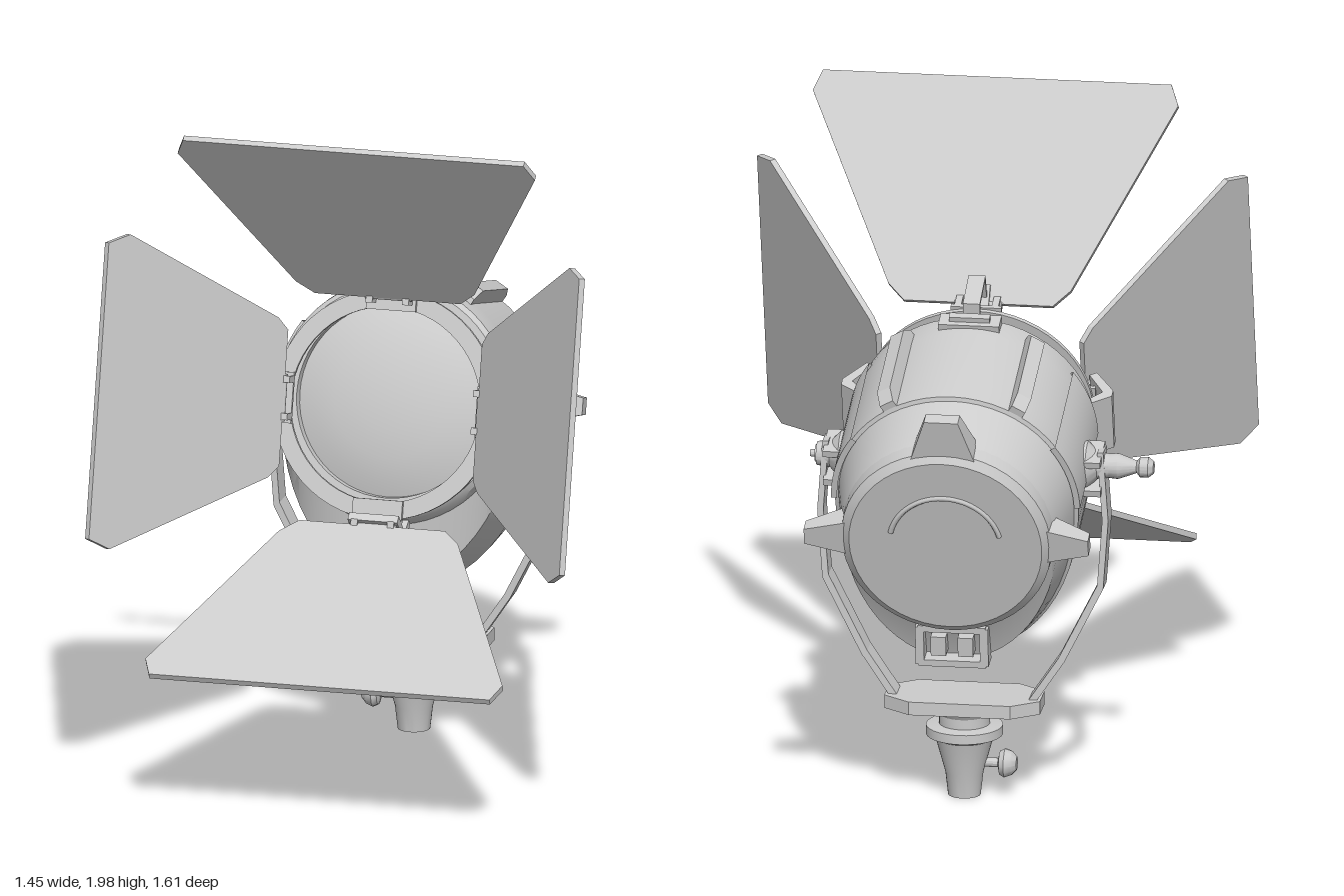
import * as THREE from 'three';
import { toCreasedNormals } from 'three/addons/utils/BufferGeometryUtils.js';

const grey = new THREE.MeshStandardMaterial({ color: 0xcccccc });
const greyDouble = new THREE.MeshStandardMaterial({ color: 0xcccccc, side: THREE.DoubleSide });

function add(parent, name, geometry, x = 0, y = 0, z = 0, material = grey) {
  const mesh = new THREE.Mesh(geometry, material);
  mesh.name = name;
  mesh.position.set(x, y, z);
  parent.add(mesh);
  return mesh;
}
const box = (w, h, d) => new THREE.BoxGeometry(w, h, d);
const vec = (points) => points.map(([x, y]) => new THREE.Vector2(x, y));

// Turned part from [radius, height] points, with crisp steps
function lathe(points, segments = 48, start = 0, length = Math.PI * 2) {
  return toCreasedNormals(new THREE.LatheGeometry(vec(points), segments, start, length), 0.5);
}
// Flat polygon with thickness, centred on its own plane
function slab(points, depth) {
  const g = new THREE.ExtrudeGeometry(new THREE.Shape(vec(points)), { depth, bevelEnabled: false });
  return g.translate(0, 0, -depth / 2);
}
// Profile drawn in (z forward, y outward), extruded across x
const sideSlab = (points, width) => slab(points, width).rotateY(-Math.PI / 2);
const mirrored = (half) => [...half, ...half.map(([x, y]) => [-x, y]).reverse()];

// Housing: round on top, deeper underneath; sections are [z, radius, depth below]
function housingGeometry() {
  const sections = [
    [-0.37, 0.29, 0.29], [-0.36, 0.31, 0.31], [-0.34, 0.318, 0.455], [-0.185, 0.348, 0.525],
    [-0.18, 0.36, 0.53], [-0.12, 0.36, 0.55], [0.157, 0.36, 0.535], [0.215, 0.357, 0.365],
    [0.25, 0.352, 0.352], [0.265, 0.338, 0.338], [0.265, 0.287, 0.287], [0.2, 0.282, 0.282],
  ];
  const n = 56, pos = [], index = [];
  sections.forEach(([z, r, low], i) => {
    for (let j = 0; j < n; j++) {
      const a = (j / n) * Math.PI * 2;
      pos.push(r * Math.cos(a), (Math.sin(a) > 0 ? r : low) * Math.sin(a), z);
      if (i === sections.length - 1) continue;
      const p = i * n + j, q = i * n + ((j + 1) % n);
      index.push(p, q, q + n, p, q + n, p + n);
    }
  });
  const g = new THREE.BufferGeometry();
  g.setAttribute('position', new THREE.Float32BufferAttribute(pos, 3));
  g.setIndex(index);
  return toCreasedNormals(g, 0.5);
}

function buildHead() {
  const head = new THREE.Group();
  head.name = 'lampHead';
  add(head, 'housing', housingGeometry(), 0, 0, 0, greyDouble);
  add(head, 'lens', lathe([[0.287, 0.235], [0.24, 0.255], [0.17, 0.275], [0.09, 0.287], [0, 0.291]]),
    0, 0, 0, greyDouble).rotation.x = Math.PI / 2;
  add(head, 'rearCap', lathe([[0, -0.425], [0.285, -0.425], [0.31, -0.405], [0.315, -0.31], [0.3, -0.305]]),
    0, 0, 0, greyDouble).rotation.x = Math.PI / 2;
  add(head, 'rearArc', new THREE.TorusGeometry(0.165, 0.008, 6, 28, Math.PI * 0.85), 0, 0, -0.426)
    .rotation.z = Math.PI * 0.075;

  // Curved cover panels on both sides
  for (const start of [90, 235]) {
    add(head, 'sidePanel', lathe([[0.35, -0.2], [0.368, -0.2], [0.368, 0.2], [0.35, 0.2]], 10,
      THREE.MathUtils.degToRad(start), THREE.MathUtils.degToRad(35)), 0, 0, 0, greyDouble).rotation.x = Math.PI / 2;
  }
  // Cooling fins
  for (const s of [-1, 1]) {
    const fin = add(head, 'coolingFin', sideSlab([[-0.18, 0.33], [0.2, 0.33], [0.2, 0.375], [0.16, 0.405],
      [-0.14, 0.405], [-0.18, 0.38]], 0.045));
    fin.rotation.z = -s * 0.54;
  }
  // Three rear feet, tapering outward
  for (const a of [0, Math.PI / 2, -Math.PI / 2]) {
    const g = box(0.2, 0.15, 0.1), p = g.attributes.position;
    for (let i = 0; i < p.count; i++) {
      if (p.getY(i) < 0) continue;
      p.setX(i, p.getX(i) * (a === 0 ? 0.5 : 0.42));
      if (p.getZ(i) > 0) p.setZ(i, -0.005);
    }
    g.translate(0, 0.345, -0.36);
    const foot = add(head, 'rearFoot', toCreasedNormals(g, 0.3));
    if (a !== 0) foot.scale.x = 0.6;
    foot.rotation.z = a;
  }
  // Switch panel on the lower back
  const panel = new THREE.Group();
  panel.name = 'switchPanel';
  panel.position.set(0, -0.385, -0.36);
  panel.rotation.x = 0.14;
  for (const s of [-1, 1]) {
    add(panel, 'panelSide', box(0.025, 0.12, 0.06), s * 0.095);
    add(panel, 'panelRail', box(0.2, 0.02, 0.06), 0, s * 0.055);
    add(panel, 'switch', box(0.045, 0.06, 0.06), s * 0.04);
  }
  head.add(panel);
  add(head, 'bottomStud', new THREE.CylinderGeometry(0.03, 0.03, 0.05, 16), 0, -0.54, 0.03);

  buildDoors(head);
  return head;
}

function buildDoors(head) {
  const doors = new THREE.Group();
  doors.name = 'barnDoors';
  doors.position.y = -0.012;
  head.add(doors);
  // Thin frame ring in front of the housing
  const ring = new THREE.Shape().absarc(0, 0, 0.338, 0, Math.PI * 2);
  ring.holes.push(new THREE.Path().absarc(0, 0, 0.287, 0, Math.PI * 2, true));
  add(doors, 'doorFrame', toCreasedNormals(
    new THREE.ExtrudeGeometry(ring, { depth: 0.014, bevelEnabled: false, curveSegments: 28 }), 0.5), 0, 0, 0.325);

  const wide = mirrored([[0.22, 0], [0.27, 0.05], [0.54, 0.63], [0.515, 0.694]]);
  const narrow = mirrored([[0.2, 0], [0.235, 0.04], [0.462, 0.62], [0.435, 0.7]]);
  // [turn, hinge radius, opening angle, outline, name]
  const layout = [
    [0, 0.32, 51, wide, 'topDoor'], [Math.PI, 0.36, 48.1, wide, 'bottomDoor'],
    [Math.PI / 2, 0.3, 53.3, narrow, 'rightDoor'], [-Math.PI / 2, 0.3, 53.3, narrow, 'leftDoor'],
  ];
  for (const [turn, radius, open, outline, name] of layout) {
    const g = new THREE.Group();
    g.name = name;
    g.rotation.z = turn;
    doors.add(g);
    add(g, 'flap', slab(outline, 0.018), 0, radius, 0.39).rotation.x = THREE.MathUtils.degToRad(open);
    // Hinge plate, lugs and pin
    add(g, 'hingePlate', box(0.15, 0.065, 0.014), 0, 0.31, 0.345);
    for (const s of [-1, 1]) add(g, 'hingeLug', box(0.02, 0.045, 0.06), s * 0.055, radius, 0.37);
    add(g, 'hingePin', new THREE.CylinderGeometry(0.012, 0.012, 0.14, 10).rotateZ(Math.PI / 2), 0, radius, 0.385);
    add(g, 'hingeTongue', box(0.065, 0.07, 0.022), 0, radius + 0.02, 0.4).rotation.x = THREE.MathUtils.degToRad(open);
    if (turn === 0) {
      // Spring latch over the top
      add(g, 'latchStrap', sideSlab([[0.25, 0.35], [0.255, 0.41], [0.385, 0.425], [0.4, 0.34], [0.39, 0.34],
        [0.377, 0.415], [0.264, 0.4], [0.26, 0.35]], 0.05));
      add(g, 'latchPlate', box(0.18, 0.03, 0.06), 0, 0.365, 0.215);
      add(g, 'latchBar', box(0.12, 0.03, 0.025), 0, 0.38, 0.215);
    } else {
      // Hooked retaining clip
      add(g, 'frameClip', sideSlab([[0.24, 0.345], [0.28, 0.4], [0.31, 0.4], [0.4, 0.34], [0.385, 0.32],
        [0.3, 0.37], [0.26, 0.335]], turn === Math.PI ? 0.15 : 0.18));
    }
  }
}

function buildStand() {
  const stand = new THREE.Group();
  stand.name = 'stand';
  stand.position.z = -0.31;
  // Yoke arms with pivot hardware
  const path = [[0.415, 1.08], [0.43, 0.87], [0.415, 0.66], [0.3, 0.43], [0.2, 0.28]];
  const inner = path.map(([x, y]) => [x - 0.018, y + (y < 0.7 ? 0.01 : 0)]).reverse();
  for (const s of [-1, 1]) {
    const arm = add(stand, 'yokeArm', slab([...path, ...inner], 0.075));
    if (s < 0) arm.rotation.y = Math.PI;
    const boss = add(stand, 'pivotBoss', lathe([[0, 0.33], [0.075, 0.33], [0.07, 0.365], [0.04, 0.395], [0.035, 0.435], [0, 0.435]], 24),
      0, 1.03, 0);
    boss.rotation.z = -s * Math.PI / 2;
    add(stand, 'pivotPlate', box(0.05, 0.02, 0.12), s * 0.385, 1.065, -0.01).rotation.x = -0.27;
    add(stand, 'pivotPlate', box(0.05, 0.02, 0.12), s * 0.385, 0.975, 0).rotation.x = -0.27;
  }
  add(stand, 'pivotBolt', lathe([[0, 0.42], [0.026, 0.42], [0.026, 0.44], [0.011, 0.44], [0.011, 0.455], [0, 0.455]], 12),
    0, 1.03, 0).rotation.z = -Math.PI / 2;
  add(stand, 'tiltKnob', lathe([[0, 0.42], [0.035, 0.42], [0.038, 0.455], [0.022, 0.5], [0.018, 0.51],
    [0.03, 0.52], [0.03, 0.545], [0.018, 0.56], [0, 0.56]], 20), 0, 1.03, 0).rotation.z = Math.PI / 2;

  // Cross plate with cut corners
  add(stand, 'yokeBase', slab([[0.23, 0.05], [0.15, 0.108], [-0.15, 0.108], [-0.23, 0.05],
    [-0.23, -0.05], [-0.15, -0.108], [0.15, -0.108], [0.23, -0.05]], 0.04).rotateX(Math.PI / 2), 0, 0.29, 0);
  // Socket
  add(stand, 'socket', lathe([[0, 0], [0.048, 0], [0.056, 0.07], [0.085, 0.175], [0.113, 0.187], [0.113, 0.215],
    [0.075, 0.22], [0.075, 0.25], [0.09, 0.275], [0, 0.275]], 32));
  add(stand, 'lockKnob', lathe([[0, 0.04], [0.014, 0.04], [0.014, 0.1], [0.036, 0.105], [0.044, 0.12],
    [0.036, 0.14], [0.02, 0.155], [0, 0.155]], 12), 0, 0.1, 0).rotation.z = Math.PI / 2;
  return stand;
}

export function createModel() {
  const model = new THREE.Group();
  model.name = 'stageLight';
  // Head tilts upward about the yoke pivot
  const head = buildHead();
  head.position.set(0, 1.01, -0.305);
  head.rotation.x = THREE.MathUtils.degToRad(-15.5);
  model.add(head, buildStand());
  return model;
}
